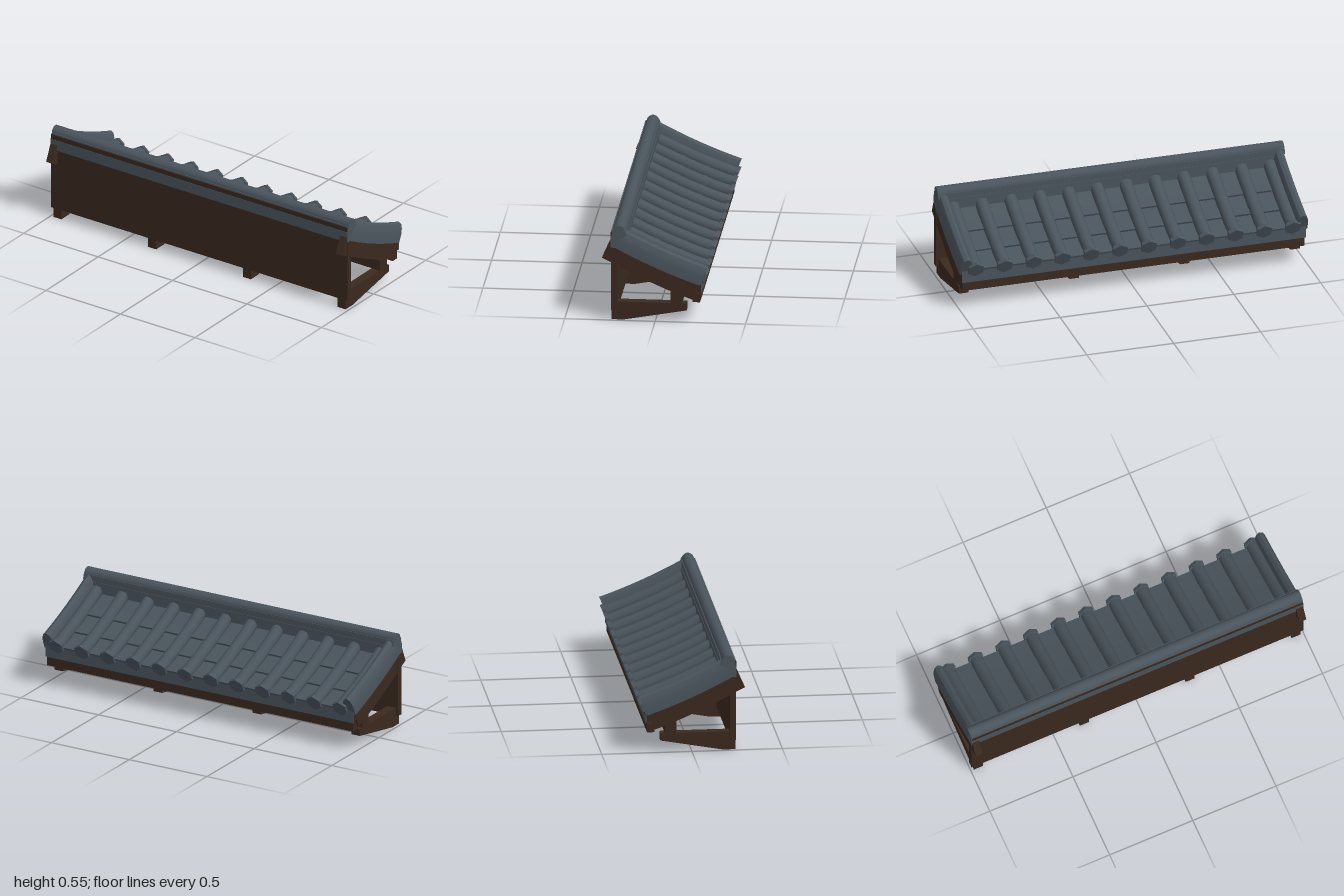
import * as THREE from 'three';
import { toCreasedNormals } from 'three/addons/utils/BufferGeometryUtils.js';

const SLOPE = 0.518; // length of the roof slope, ridge to eave

// Point on the sagging roof: u runs down the slope, h stands off it. Returns [z, y].
function roofPoint(u, h) {
  const s = u / SLOPE;
  const sag = s > 0 && s < 1 ? 0.048 * s * (1 - s) : 0;
  return [0.225 - 0.917 * u - 0.4 * h, 0.42 - 0.4 * u + 0.917 * h - sag];
}

const toShape = (pts) => new THREE.Shape(pts.map(([a, b]) => new THREE.Vector2(a, b)));

// Regular polygon of points
function ring(cx, cy, r, n, turn = 0) {
  return Array.from({ length: n }, (_, i) => {
    const a = turn + (i / n) * Math.PI * 2;
    return [cx + r * Math.cos(a), cy + r * Math.sin(a)];
  });
}

// Extrude a (z, y) profile along x
function alongX(pts, x0, x1) {
  const g = new THREE.ExtrudeGeometry(toShape(pts), { depth: x1 - x0, bevelEnabled: false });
  g.rotateY(-Math.PI / 2);
  g.translate(x1, 0, 0);
  return g;
}

// Sweep an (x, h) section down the roof; lift(h, t) shifts h from top (t=0) to bottom (t=1)
function downRoof(pts, u0, u1, steps = 4, lift = (h) => h) {
  const g = new THREE.ExtrudeGeometry(toShape(pts), { depth: u1 - u0, steps, bevelEnabled: false });
  const p = g.attributes.position;
  for (let i = 0; i < p.count; i++) {
    const u = u1 - p.getZ(i);
    const [z, y] = roofPoint(u, lift(p.getY(i), (u - u0) / (u1 - u0)));
    p.setXYZ(i, p.getX(i), y, z);
  }
  g.computeVertexNormals();
  return g;
}

export function createModel() {
  const wood = new THREE.MeshStandardMaterial({ color: 0x3a291e });
  wood.name = 'dark wood';
  const slate = new THREE.MeshStandardMaterial({ color: 0x4a545c });
  slate.name = 'slate tile';

  const model = new THREE.Group();
  model.name = 'tiledCanopy';
  const add = (name, geometry, material) => {
    const mesh = new THREE.Mesh(geometry, material);
    mesh.name = name;
    model.add(mesh);
  };
  const box = (name, material, z0, z1, y0, y1, halfX) =>
    add(name, alongX([[z0, y0], [z1, y0], [z1, y1], [z0, y1]], -halfX, halfX), material);
  const rect = (x0, x1, h0, h1) => [[x0, h0], [x1, h0], [x1, h1], [x0, h1]];

  // Wall panel and long beams
  box('wallPanel', wood, 0.21, 0.245, 0.057, 0.42, 0.997);
  box('purlin', wood, -0.148, -0.083, 0.104, 0.166, 0.985);
  box('eaveBeam', wood, -0.247, -0.205, 0.113, 0.163, 0.985);

  // Tapered support brackets
  const bracket = [[0.242, 0], [0.242, 0.103], [-0.173, 0.103], [-0.173, 0.063], [0.175, 0]];
  for (const x of [-0.955, -0.318, 0.318, 0.955])
    add('bracket', alongX(bracket, x - 0.027, x + 0.027), wood);

  // Roof boarding, cut vertically at the eave and faced with a slate drip board
  const deck = [];
  for (let i = 0; i <= 8; i++) deck.push(roofPoint(0.01 + i * 0.061, -0.044));
  deck.push([-0.252, 0.165], [-0.252, 0.215]);
  for (let i = 8; i >= 0; i--) deck.push(roofPoint(0.01 + i * 0.061, 0.003));
  add('roofDeck', alongX(deck, -0.99, 0.99), wood);
  box('eaveFascia', slate, -0.256, -0.252, 0.166, 0.24, 0.99);

  // Overlapping courses of flat tiles
  const courses = [0.045, 0.221, 0.369, 0.516];
  for (let c = 0; c < 3; c++)
    add('flatTileCourse', downRoof(rect(-0.945, 0.945, 0, 0.02), courses[c], courses[c + 1], 3,
      (h, t) => (h > 0.01 ? h + 0.012 * t : h)), slate);

  // Continuous roll tiles with six-sided caps at the eave
  for (let k = 0; k < 12; k++) {
    const x = (k - 5.5) * 0.166;
    const roll = downRoof(ring(x, 0.036, 0.037, 10, Math.PI / 10), 0.045, 0.515, 8);
    add('rollTile', toCreasedNormals(roll, 0.7), slate);
    add('rollEndCap', downRoof(ring(x, 0.036, 0.048, 6, Math.PI / 6), 0.507, 0.529, 1), slate);
  }

  // Verge tiles and bargeboards on both ends
  const verge = [[0.932, 0], [1, 0], [1, 0.05], [0.995, 0.08], [0.985, 0.102], [0.966, 0.112],
    [0.948, 0.102], [0.937, 0.08], [0.932, 0.05]];
  for (const side of [1, -1]) {
    const flip = (pts) => pts.map(([x, h]) => [x * side, h]);
    add('vergeTile', toCreasedNormals(downRoof(flip(verge), 0, 0.514, 8), 0.3), slate);
    add('bargeboard', downRoof(flip(rect(0.953, 0.994, -0.085, 0.018)), -0.038, 0.509, 10,
      (h, t) => (h < 0 ? h - 0.008 * t : h)), wood);
  }

  // Ridge: base course, timber strip, ledge and round capping
  box('ridgeBase', slate, 0.16, 0.248, 0.418, 0.48, 0.993);
  box('ridgeCore', slate, 0.163, 0.238, 0.48, 0.507, 0.993);
  box('ridgeStrip', wood, 0.238, 0.246, 0.48, 0.507, 0.994);
  box('ridgeLedge', slate, 0.164, 0.243, 0.507, 0.514, 0.993);
  add('ridgeCap', toCreasedNormals(alongX(ring(0.203, 0.51, 0.035, 14), -0.993, 0.993), 0.6), slate);

  // Shaped end plates of the ridge
  const endPlate = [[0.248, 0.418], [0.248, 0.472], [0.236, 0.505], [0.228, 0.53], [0.216, 0.542],
    [0.202, 0.545], [0.187, 0.541], [0.174, 0.528], [0.163, 0.508], [0.158, 0.485],
    [0.203, 0.465], [0.225, 0.418]];
  add('ridgeEndLeft', alongX(endPlate, 0.975, 0.998), slate);
  add('ridgeEndRight', alongX(endPlate, -0.998, -0.975), slate);

  return model;
}
